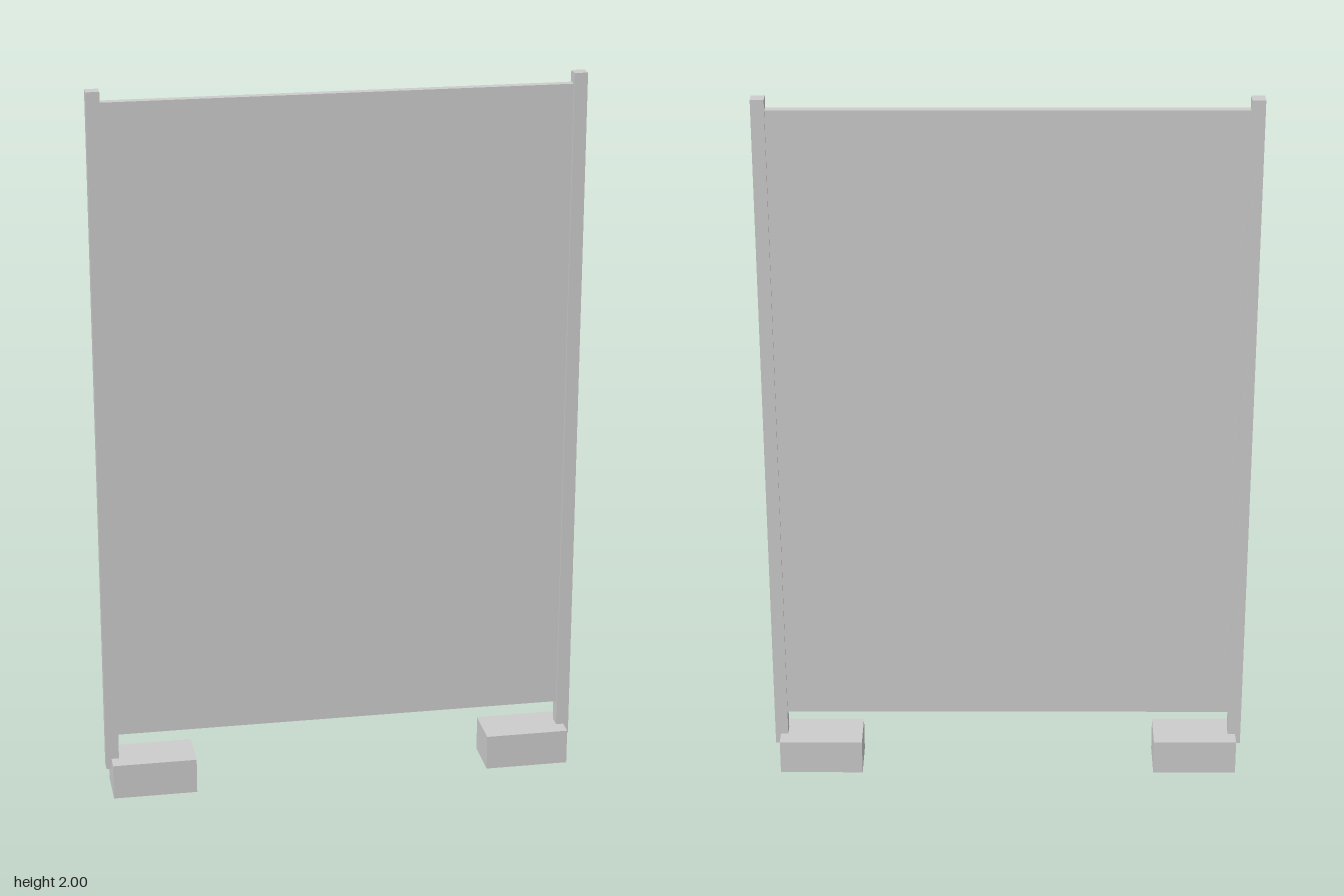
import * as THREE from 'three';

export function createModel() {
  const model = new THREE.Group();
  model.name = 'partitionScreen';
  const material = new THREE.MeshStandardMaterial({ color: 0xcccccc });

  // Box given by its size, centre x and bottom height
  function addBox(name, width, height, depth, x, bottom) {
    const mesh = new THREE.Mesh(new THREE.BoxGeometry(width, height, depth), material);
    mesh.name = name;
    mesh.position.set(x, bottom + height / 2, 0);
    model.add(mesh);
  }

  // Thin panel held between the posts
  addBox('panel', 1.26, 1.8, 0.025, 0, 0.17);

  // Upright posts, each notched into a block foot that reaches inward
  for (const [side, sign] of [['left', 1], ['right', -1]]) {
    addBox(side + 'Post', 0.036, 1.93, 0.038, sign * 0.647, 0.07);
    addBox(side + 'Foot', 0.234, 0.1, 0.132, sign * 0.533, 0);
  }

  return model;
}
